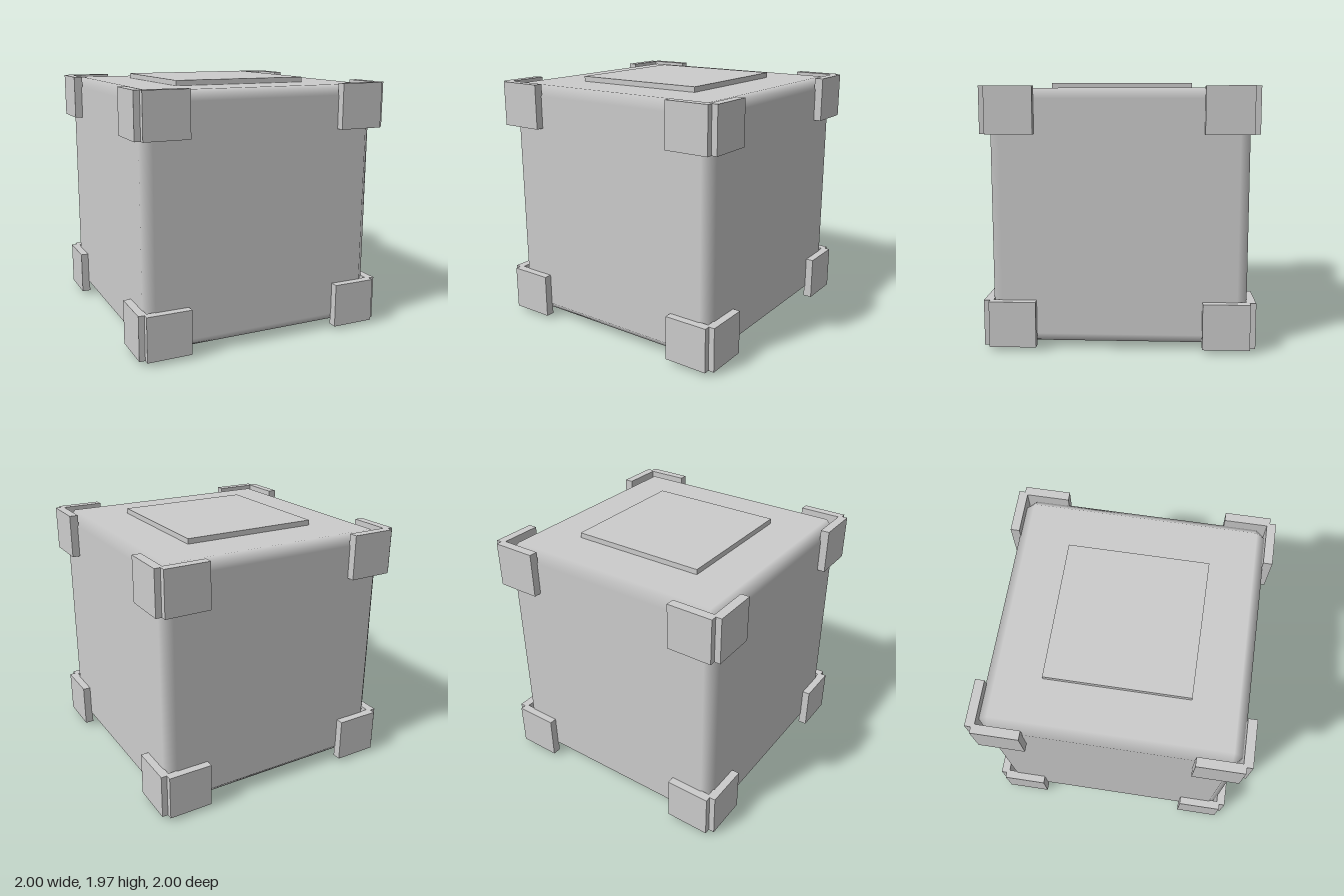
import * as THREE from 'three';

// Bevelled cube whose normals blend across the bevels
function bevelledCube(half, bevel) {
  const pos = [], nor = [], index = [], inner = half - bevel;
  const corners = [];
  for (const x of [-1, 1]) for (const y of [-1, 1]) for (const z of [-1, 1]) corners.push([x, y, z]);
  // three vertices per corner, one on each adjoining face
  for (const c of corners) {
    for (let axis = 0; axis < 3; axis++) {
      pos.push(...c.map((s, i) => s * (i === axis ? half : inner)));
      nor.push(...c.map((s, i) => (i === axis ? s : 0)));
    }
  }
  const id = (c, axis) => corners.findIndex((k) => k.every((s, i) => s === c[i])) * 3 + axis;
  const point = (i) => new THREE.Vector3().fromArray(pos, i * 3);
  const tri = (a, b, c) => {
    const A = point(a), B = point(b), C = point(c);
    const n = B.clone().sub(A).cross(C.clone().sub(A));
    if (n.dot(A.add(B).add(C)) > 0) index.push(a, b, c);
    else index.push(a, c, b);
  };
  const quad = (a, b, c, d) => { tri(a, b, c); tri(a, c, d); };
  const corner = (axis, s, u, v) => {
    const c = [0, 0, 0];
    c[axis] = s; c[(axis + 1) % 3] = u; c[(axis + 2) % 3] = v;
    return c;
  };
  for (let a = 0; a < 3; a++) {
    const b = (a + 1) % 3, d = (a + 2) % 3;
    // flat faces
    for (const s of [-1, 1]) {
      quad(...[[-1, -1], [1, -1], [1, 1], [-1, 1]].map(([u, v]) => id(corner(a, s, u, v), a)));
    }
    // edge bevels running along axis a
    for (const u of [-1, 1]) for (const v of [-1, 1]) {
      const p = corner(a, -1, u, v), q = corner(a, 1, u, v);
      quad(id(p, b), id(q, b), id(q, d), id(p, d));
    }
  }
  // corner bevels
  for (const c of corners) tri(id(c, 0), id(c, 1), id(c, 2));
  const g = new THREE.BufferGeometry();
  g.setAttribute('position', new THREE.Float32BufferAttribute(pos, 3));
  g.setAttribute('normal', new THREE.Float32BufferAttribute(nor, 3));
  g.setIndex(index);
  return g;
}

export function createModel() {
  const model = new THREE.Group();
  model.name = 'crate';
  const grey = new THREE.MeshStandardMaterial({ color: 0xcccccc });
  grey.name = 'light grey';
  const midY = 0.985;

  const add = (parent, name, geometry, x, y, z) => {
    const mesh = new THREE.Mesh(geometry, grey);
    mesh.name = name;
    mesh.position.set(x, y, z);
    parent.add(mesh);
  };

  add(model, 'body', bevelledCube(0.94, 0.076), 0, midY, 0);

  // raised square pads on the top and bottom
  const pad = new THREE.BoxGeometry(1.064, 0.06, 1.064);
  add(model, 'topPad', pad, 0, 1.935, 0);
  add(model, 'bottomPad', pad, 0, 0.03, 0);

  // two overlapping plates wrap each corner
  const frontPlate = new THREE.BoxGeometry(0.345, 0.342, 0.068);
  const sidePlate = new THREE.BoxGeometry(0.068, 0.342, 0.345);
  for (const sy of [-1, 1]) for (const sx of [-1, 1]) for (const sz of [-1, 1]) {
    const bracket = new THREE.Group();
    bracket.name = `${sy > 0 ? 'top' : 'bottom'}${sz > 0 ? 'Front' : 'Back'}${sx > 0 ? 'Left' : 'Right'}Bracket`;
    bracket.position.y = midY + sy * 0.783;
    add(bracket, 'facePlate', frontPlate, sx * 0.7825, 0, sz * 0.966);
    add(bracket, 'sidePlate', sidePlate, sx * 0.966, 0, sz * 0.7825);
    model.add(bracket);
  }
  return model;
}
